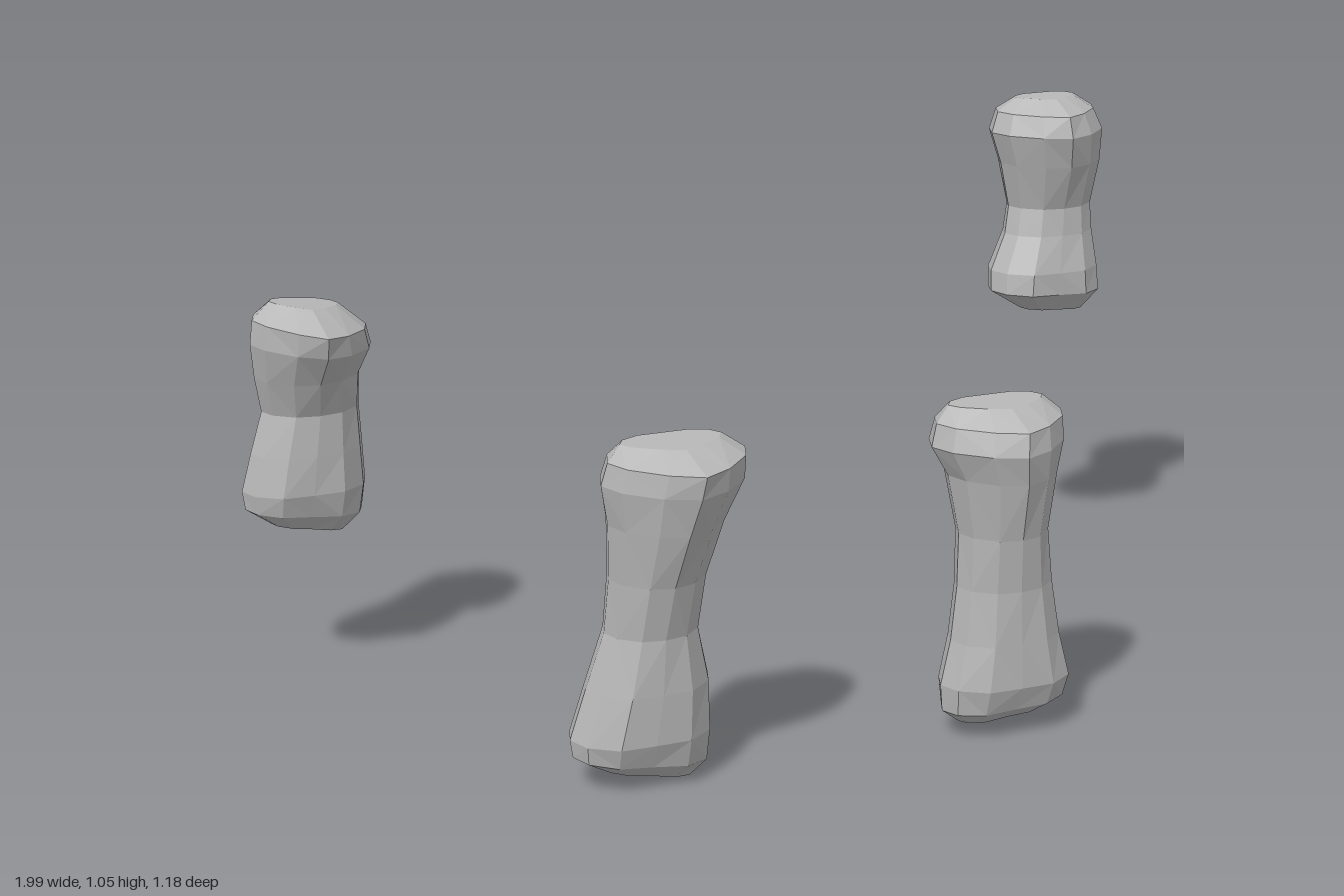
import * as THREE from 'three';

// Unit outlines (x, z), running front, left side, back, right side.
const HEAD = [[0, 1], [0.42, 0.66], [0.85, 0.12], [1, -0.3], [0.86, -0.72], [0.5, -1],
  [-0.5, -1], [-0.86, -0.72], [-1, -0.3], [-0.85, 0.12], [-0.42, 0.66]];
const BASE = [[0, 0.92], [0.52, 1], [0.88, 0.6], [1, 0], [0.88, -0.6], [0.5, -1],
  [-0.5, -1], [-0.88, -0.6], [-1, 0], [-0.88, 0.6], [-0.52, 1]];

// Rows from top to bottom: [y, xMin, xMax, zBack, zFront, sideways slope]
const BONES = {
  frontRightBone: [
    [0.682, -0.49, -0.29, 0.38, 0.50, 0],
    [0.655, -0.52, -0.25, 0.35, 0.59, 0],
    [0.61, -0.53, -0.25, 0.335, 0.58, 0],
    [0.53, -0.515, -0.29, 0.335, 0.55, 0],
    [0.42, -0.51, -0.32, 0.335, 0.505, 0],
    [0.31, -0.515, -0.33, 0.325, 0.475, 0],
    [0.20, -0.55, -0.305, 0.305, 0.475, 0],
    [0.10, -0.58, -0.30, 0.29, 0.47, 0],
    [0.05, -0.575, -0.305, 0.305, 0.45, -0.015],
    [0.018, -0.52, -0.34, 0.345, 0.415, -0.017],
  ],
  frontLeftBone: [
    [0.675, 0.18, 0.38, 0.37, 0.48, 0],
    [0.645, 0.15, 0.415, 0.345, 0.55, 0],
    [0.60, 0.14, 0.415, 0.335, 0.56, 0],
    [0.54, 0.175, 0.40, 0.34, 0.545, 0],
    [0.42, 0.20, 0.385, 0.355, 0.515, 0],
    [0.31, 0.20, 0.40, 0.355, 0.50, 0],
    [0.20, 0.19, 0.42, 0.345, 0.50, 0],
    [0.11, 0.17, 0.445, 0.34, 0.50, 0],
    [0.06, 0.175, 0.435, 0.35, 0.48, 0.005],
    [0.035, 0.21, 0.39, 0.38, 0.45, 0.006],
  ],
  backRightBone: [
    [0.797, -0.93, -0.79, -0.405, -0.30, -0.008],
    [0.76, -0.97, -0.74, -0.435, -0.205, -0.015],
    [0.715, -0.975, -0.73, -0.44, -0.22, -0.01],
    [0.65, -0.965, -0.75, -0.445, -0.27, 0],
    [0.575, -0.95, -0.75, -0.45, -0.31, 0],
    [0.49, -0.975, -0.745, -0.46, -0.31, 0],
    [0.41, -0.995, -0.74, -0.475, -0.312, 0],
    [0.36, -0.99, -0.75, -0.46, -0.33, -0.012],
    [0.325, -0.94, -0.79, -0.42, -0.36, -0.013],
  ],
  backLeftBone: [
    [1.053, 0.79, 0.93, -0.55, -0.46, 0],
    [1.025, 0.745, 0.975, -0.585, -0.395, 0],
    [0.98, 0.73, 0.995, -0.595, -0.382, 0],
    [0.91, 0.755, 0.992, -0.59, -0.405, 0],
    [0.81, 0.78, 0.978, -0.58, -0.445, 0],
    [0.75, 0.77, 0.98, -0.58, -0.44, 0],
    [0.67, 0.735, 0.99, -0.59, -0.422, 0],
    [0.62, 0.733, 0.993, -0.583, -0.425, -0.005],
    [0.578, 0.80, 0.95, -0.53, -0.46, -0.005],
  ],
};

// Lofts a closed faceted bone through its rows, blending head outline into base outline.
function boneGeometry(rows) {
  const n = HEAD.length;
  const positions = [], index = [];
  rows.forEach(([y, x0, x1, z0, z1, slope], r) => {
    const t = r / (rows.length - 1);
    HEAD.forEach(([hx, hz], i) => {
      const u = THREE.MathUtils.lerp(hx, BASE[i][0], t);
      const v = THREE.MathUtils.lerp(hz, BASE[i][1], t);
      positions.push((x0 + x1) / 2 + u * (x1 - x0) / 2, y + slope * u, (z0 + z1) / 2 + v * (z1 - z0) / 2);
    });
  });
  for (let r = 0; r < rows.length - 1; r++) {
    for (let i = 0; i < n; i++) {
      const a = r * n + i, b = r * n + (i + 1) % n, c = a + n, d = b + n;
      // alternating diagonals give the chiselled facets
      if ((r + i) % 2) index.push(c, d, b, c, b, a);
      else index.push(c, d, a, d, b, a);
    }
  }
  // end caps
  const last = (rows.length - 1) * n;
  for (let i = 1; i < n - 1; i++) {
    index.push(0, i, i + 1);
    index.push(last, last + i + 1, last + i);
  }
  const geometry = new THREE.BufferGeometry();
  geometry.setAttribute('position', new THREE.Float32BufferAttribute(positions, 3));
  geometry.setIndex(index);
  const faceted = geometry.toNonIndexed();
  faceted.computeVertexNormals();
  return faceted;
}

export function createModel() {
  const group = new THREE.Group();
  group.name = 'fingerBones';
  const bone = new THREE.MeshStandardMaterial({ color: 0xb8b8b8 });
  bone.name = 'boneGrey';
  for (const [name, rows] of Object.entries(BONES)) {
    const mesh = new THREE.Mesh(boneGeometry(rows), bone);
    mesh.name = name;
    group.add(mesh);
  }
  return group;
}
